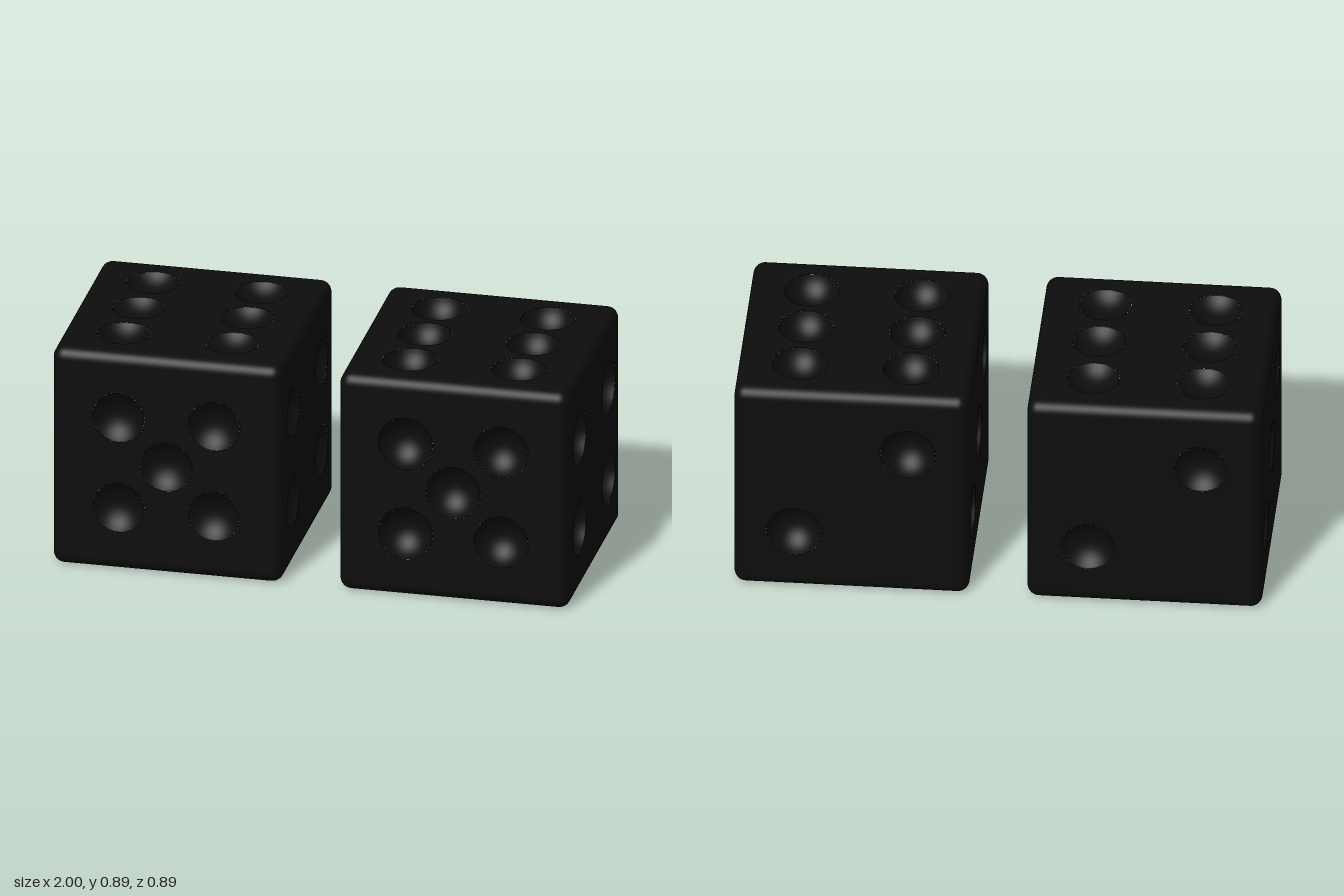
import * as THREE from 'three';
import { RoundedBoxGeometry } from 'three/addons/geometries/RoundedBoxGeometry.js';

const SIZE = 0.89, HALF = SIZE / 2, ROUND = 0.045;
const X = new THREE.Vector3(1, 0, 0), Y = new THREE.Vector3(0, 1, 0), Z = new THREE.Vector3(0, 0, 1);
const neg = (v) => v.clone().negate();
const corners = (u, v) => [[-u, -v], [u, -v], [-u, v], [u, v]];

// each face: its right and up directions, and the pip centres on it
const FACES = [
  { name: 'bottomFaceOne', u: X, v: Z, pips: [[0, 0]] },
  { name: 'backFaceTwo', u: neg(X), v: Y, pips: [[-0.215, -0.19], [0.215, 0.19]] },
  { name: 'leftFaceThree', u: Z, v: Y, pips: [[-0.245, -0.19], [0, 0], [0.245, 0.19]] },
  { name: 'rightFaceFour', u: neg(Z), v: Y, pips: corners(0.245, 0.185) },
  { name: 'frontFaceFive', u: X, v: Y, pips: [...corners(0.185, 0.185), [0, 0]] },
  { name: 'topFaceSix', u: X, v: neg(Z), pips: [...corners(0.21, 0.245), [-0.21, 0], [0.21, 0]] },
];

// rounded edges and corners: a rounded box without its flat faces
function edgeGeometry() {
  const box = new RoundedBoxGeometry(SIZE, SIZE, SIZE, 5, ROUND);
  const p = box.attributes.position, n = box.attributes.normal;
  const pos = [], nor = [];
  const isAxis = (i) => Math.max(Math.abs(n.getX(i)), Math.abs(n.getY(i)), Math.abs(n.getZ(i))) > 0.9999;
  for (let i = 0; i < p.count; i += 3) {
    if (isAxis(i) && isAxis(i + 1) && isAxis(i + 2)) continue;
    for (let k = i; k < i + 3; k++) {
      pos.push(p.getX(k), p.getY(k), p.getZ(k));
      nor.push(n.getX(k), n.getY(k), n.getZ(k));
    }
  }
  const geo = new THREE.BufferGeometry();
  geo.setAttribute('position', new THREE.Float32BufferAttribute(pos, 3));
  geo.setAttribute('normal', new THREE.Float32BufferAttribute(nor, 3));
  return geo;
}

// flat plate with round holes for the pips
function plateGeometry(pips, radius) {
  const h = HALF - ROUND;
  const shape = new THREE.Shape([[-h, -h], [h, -h], [h, h], [-h, h]].map((c) => new THREE.Vector2(...c)));
  for (const [x, y] of pips) {
    shape.holes.push(new THREE.Path().absarc(x, y, radius, 0, Math.PI * 2, true));
  }
  return new THREE.ShapeGeometry(shape, 32);
}

// hollow spherical cap, opening towards +z
function pipGeometry(radius, depth) {
  const R = (radius * radius + depth * depth) / (2 * depth);
  const open = Math.asin(radius / R), points = [];
  for (let i = 0; i <= 10; i++) {
    const a = open * (1 - i / 10);
    points.push(new THREE.Vector2(i === 10 ? 0 : R * Math.sin(a), R - depth - R * Math.cos(a)));
  }
  return new THREE.LatheGeometry(points, 32).rotateX(Math.PI / 2);
}

function createDie(name, radius, depth, material) {
  const die = new THREE.Group();
  die.name = name;
  const add = (parent, geo, partName) => {
    const mesh = new THREE.Mesh(geo, material);
    mesh.name = partName;
    parent.add(mesh);
    return mesh;
  };
  add(die, edgeGeometry(), 'roundedEdges');
  const pipGeo = pipGeometry(radius, depth);
  for (const { name: faceName, u, v, pips } of FACES) {
    const face = new THREE.Group();
    face.name = faceName;
    const normal = u.clone().cross(v);
    face.quaternion.setFromRotationMatrix(new THREE.Matrix4().makeBasis(u, v, normal));
    face.position.copy(normal).multiplyScalar(HALF);
    add(face, plateGeometry(pips, radius), 'facePlate');
    for (const [x, y] of pips) add(face, pipGeo, 'pip').position.set(x, y, 0);
    die.add(face);
  }
  return die;
}

export function createModel() {
  const model = new THREE.Group();
  model.name = 'pairOfDice';
  const black = new THREE.MeshStandardMaterial({ color: 0x0d0d0d });
  const right = createDie('rightDie', 0.1, 0.05, black);
  const left = createDie('leftDie', 0.105, 0.085, black);
  right.position.set(HALF - 1, HALF, 0);
  left.position.set(1 - HALF, HALF, 0);
  model.add(right, left);
  return model;
}
